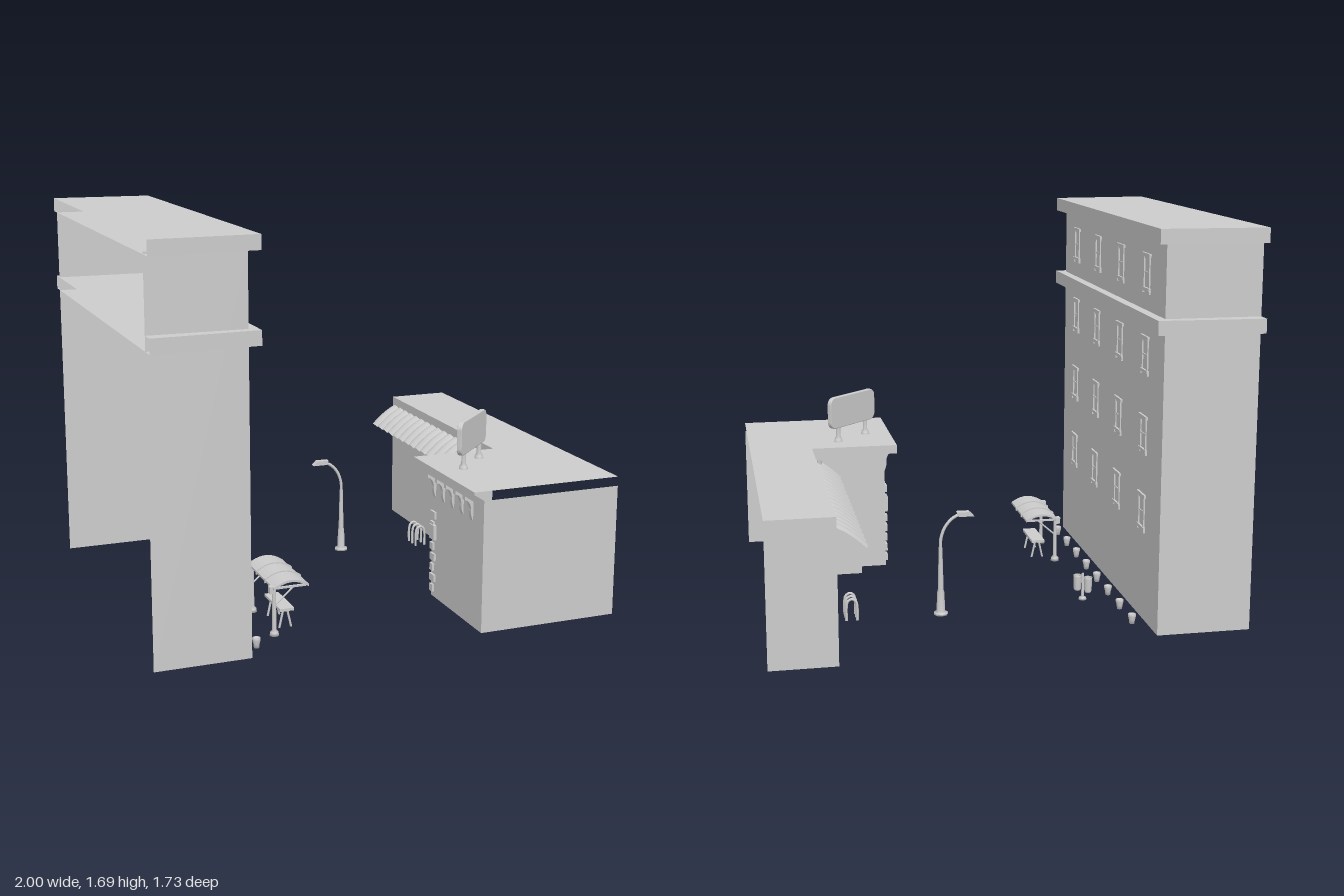
import * as THREE from 'three';

const mat = new THREE.MeshStandardMaterial({ color: 0xcccccc, side: THREE.DoubleSide });
const V = (x, y, z) => new THREE.Vector3(x, y, z);

function add(parent, name, geo, x = 0, y = 0, z = 0) {
  const m = new THREE.Mesh(geo, mat);
  m.name = name;
  m.position.set(x, y, z);
  parent.add(m);
  return m;
}
function group(parent, name, x = 0, y = 0, z = 0) {
  const g = new THREE.Group();
  g.name = name;
  g.position.set(x, y, z);
  parent.add(g);
  return g;
}
const box = (p, n, w, h, d, x, y, z) => add(p, n, new THREE.BoxGeometry(w, h, d), x, y, z);
const cyl = (p, n, r1, r2, h, x, y, z, s = 12) => add(p, n, new THREE.CylinderGeometry(r1, r2, h, s), x, y, z);
const tube = (p, n, pts, r, s = 24) => add(p, n, new THREE.TubeGeometry(new THREE.CatmullRomCurve3(pts), s, r, 8));
const lathe = (p, n, pts, x, y, z, s = 12) =>
  add(p, n, new THREE.LatheGeometry(pts.map(q => new THREE.Vector2(q[0], q[1])), s), x, y, z);

// Upright thin walls following a plan path of [x, z] points
function walls(parent, name, path, y0, y1) {
  const pos = [];
  for (let i = 0; i < path.length - 1; i++) {
    const [ax, az] = path[i], [bx, bz] = path[i + 1];
    pos.push(ax, y0, az, bx, y0, bz, bx, y1, bz, ax, y0, az, bx, y1, bz, ax, y1, az);
  }
  const g = new THREE.BufferGeometry();
  g.setAttribute('position', new THREE.Float32BufferAttribute(pos, 3));
  g.computeVertexNormals();
  return add(parent, name, g);
}
// Flat horizontal sheet with a plan outline
function sheet(parent, name, path, y) {
  const g = new THREE.ShapeGeometry(new THREE.Shape(path.map(p => new THREE.Vector2(p[0], -p[1]))));
  g.rotateX(-Math.PI / 2);
  return add(parent, name, g, 0, y, 0);
}

function windowFrame(parent, y, z) {
  const w = group(parent, 'window', -0.6, y, z);
  box(w, 'lintel', 0.018, 0.014, 0.105, 0, 0.158, 0);
  for (const s of [-1, 1]) {
    box(w, 'jamb', 0.012, 0.14, 0.012, 0, 0.083, s * 0.036);
    box(w, 'sillBracket', 0.016, 0.016, 0.014, 0, 0.008, s * 0.044);
  }
  box(w, 'topRail', 0.01, 0.008, 0.07, 0, 0.147, 0);
  box(w, 'middleRail', 0.008, 0.007, 0.06, 0, 0.085, 0);
  box(w, 'sill', 0.018, 0.012, 0.1, 0, 0.018, 0);
  for (let i = -2; i <= 2; i++)
    cyl(w, 'sillScallop', 0.007, 0.007, 0.012, 0, 0.012, i * 0.014, 8).rotation.z = Math.PI / 2;
}

function tallBuilding(root) {
  const b = group(root, 'tallBuilding');
  walls(b, 'tallWalls', [[-1, 0.8], [-0.6, 0.8], [-0.6, -0.8], [-1, -0.8]], 0.01, 1.64);
  const rim = [[-1, 0.863], [-0.56, 0.84], [-0.56, -0.84], [-1, -0.863]];
  for (const [y0, y1] of [[1.27, 1.33], [1.63, 1.69]]) {
    walls(b, 'corniceFace', rim, y0, y1);
    sheet(b, 'corniceTop', rim, y1);
    sheet(b, 'corniceUnderside', rim, y0);
  }
  for (const y of [0.39, 0.725, 1.06, 1.4])
    for (const z of [0.575, 0.2, -0.175, -0.55]) windowFrame(b, y, z);
}

function shop(root) {
  const b = group(root, 'shop');
  walls(b, 'frontWalls', [[1, 0.863], [0.375, 0.863], [0.375, 0.37], [0.5, 0.37], [0.5, 0.27]], 0, 0.57);
  walls(b, 'wingWalls', [[0.5, 0.27], [0.72, 0.27], [0.72, -0.863], [1, -0.863]], 0, 0.61);
  sheet(b, 'shopRoof', [[0.33, 0.863], [1, 0.863], [1, -0.863], [0.72, -0.863], [0.72, 0.265], [0.33, 0.265]], 0.61);
  walls(b, 'roofFascia', [[0.33, 0.863], [0.33, 0.265], [0.72, 0.265]], 0.57, 0.61);

  // Curved corbels under the overhang
  const c = new THREE.Shape();
  c.moveTo(0.38, 0.45);
  c.quadraticCurveTo(0.362, 0.47, 0.364, 0.51);
  c.quadraticCurveTo(0.36, 0.545, 0.335, 0.55);
  c.lineTo(0.335, 0.57);
  c.lineTo(0.38, 0.57);
  const corbel = new THREE.ExtrudeGeometry(c, { depth: 0.022, bevelEnabled: false, curveSegments: 6 });
  for (let i = 0; i < 5; i++) add(b, 'corbel', corbel, 0, 0, 0.385 + i * 0.09);

  // Corner stones and wall box
  for (let i = 0; i < 8; i++)
    box(b, 'cornerStone', 0.018, 0.032, i % 2 ? 0.045 : 0.03, 0.374, 0.04 + i * 0.048, i % 2 ? 0.392 : 0.385);
  box(b, 'wallBox', 0.03, 0.065, 0.045, 0.375, 0.3, 0.395);

  // Striped awning of bulging strips
  const n = 17, w = 1.11 / n;
  for (let i = 0; i < n; i++) {
    const g = new THREE.PlaneGeometry(1, 1, 6, 6), p = g.attributes.position;
    for (let k = 0; k < p.count; k++) {
      const u = p.getX(k) + 0.5, t = 0.5 - p.getY(k), bulge = 0.012 * Math.sin(Math.PI * u);
      p.setXYZ(k, 0.722 - 0.12 * t - bulge * 0.5, 0.565 - 0.055 * t - 0.035 * t * t + bulge * 0.8, -0.857 + (i + u) * w);
    }
    g.computeVertexNormals();
    add(b, 'awningStrip', g);
  }

  // Wall pipes
  const X = 0.695;
  tube(b, 'wallPipe', [V(X, 0.57, 0.2), V(X, 0.3, 0.2), V(X, 0.05, 0.2), V(X, 0.02, 0.2), V(0.67, 0.015, 0.2)], 0.01);
  tube(b, 'wallPipe', [V(X, 0.5, 0.14), V(X, 0.3, 0.14), V(X, 0.16, 0.14), V(X, 0.13, 0.11), V(X, 0.13, 0.03), V(X, 0.16, 0), V(X, 0.24, 0)], 0.01);
  tube(b, 'wallPipe', [V(X, 0.42, 0.1), V(X, 0.27, 0.1), V(X, 0.24, 0.08), V(X, 0.24, 0.02)], 0.008);
  for (const y of [0.2, 0.4]) box(b, 'pipeClamp', 0.03, 0.012, 0.03, 0.705, y, 0.2);

  // Bike rack hoops
  for (const z of [-0.355, -0.315, -0.275])
    tube(b, 'bikeRackHoop', [V(0.592, 0, z), V(0.592, 0.06, z), V(0.598, 0.085, z), V(0.615, 0.095, z), V(0.632, 0.085, z), V(0.638, 0.06, z), V(0.638, 0, z)], 0.006);
}

function billboard(root) {
  const g = group(root, 'billboard', 0.517, 0.61, 0.455);
  g.rotation.y = Math.PI / 4 - 0.02;
  const W = 0.155, r = 0.03, s = new THREE.Shape();
  s.absarc(W - r, 0.21 - r, r, 0, Math.PI / 2);
  s.absarc(-W + r, 0.21 - r, r, Math.PI / 2, Math.PI);
  s.absarc(-W + r, 0.07 + r, r, Math.PI, 1.5 * Math.PI);
  s.absarc(W - r, 0.07 + r, r, 1.5 * Math.PI, 2 * Math.PI);
  const geo = new THREE.ExtrudeGeometry(s, { depth: 0.014, bevelSize: 0.004, bevelThickness: 0.004, bevelSegments: 2, curveSegments: 6 });
  add(g, 'billboardPanel', geo, 0, 0, -0.007);
  for (const x of [-0.098, 0.098])
    lathe(g, 'billboardLeg', [[0.02, 0], [0.018, 0.012], [0.01, 0.025], [0.01, 0.072]], x, 0, 0);
}

function streetLamp(root) {
  const g = group(root, 'streetLamp', 0.23, 0, -0.35);
  lathe(g, 'lampBase', [[0, 0], [0.031, 0], [0.031, 0.01], [0.019, 0.016], [0.016, 0.1], [0.013, 0.11], [0.009, 0.27], [0.009, 0.3]], 0, 0, 0, 8);
  tube(g, 'lampArm', [V(0, 0.29, 0), V(-0.002, 0.34, 0), V(-0.02, 0.39, 0), V(-0.05, 0.425, 0), V(-0.085, 0.445, 0)], 0.007);
  const head = new THREE.Shape([[-0.07, 0.455], [-0.125, 0.455], [-0.145, 0.435], [-0.078, 0.435]].map(p => new THREE.Vector2(...p)));
  add(g, 'lampHead', new THREE.ExtrudeGeometry(head, { depth: 0.03, bevelEnabled: false }), 0, 0, -0.015);
}

function shelter(root) {
  const g = group(root, 'benchShelter');
  // Arched canopy and its ribs
  const arch = (x0, x1, y, lift, thick) => {
    const s = new THREE.Shape(), m = (x0 + x1) / 2;
    s.moveTo(x0, y);
    s.quadraticCurveTo(m, y + lift, x1, y);
    s.lineTo(x1, y - thick);
    s.quadraticCurveTo(m, y + lift - thick, x0, y - thick);
    return s;
  };
  const ext = (s, d) => new THREE.ExtrudeGeometry(s, { depth: d, bevelEnabled: false, curveSegments: 10 });
  add(g, 'canopy', ext(arch(-0.44, -0.287, 0.212, 0.054, 0.01), 0.335), 0, 0, 0.267);
  for (const z of [0.378, 0.49]) add(g, 'canopyRib', ext(arch(-0.443, -0.284, 0.216, 0.056, 0.018), 0.012), 0, 0, z - 0.006);
  for (const z of [0.29, 0.58]) {
    lathe(g, 'shelterPost', [[0, 0], [0.02, 0], [0.018, 0.014], [0.009, 0.025], [0.008, 0.21]], -0.432, 0, z);
    box(g, 'postCap', 0.022, 0.03, 0.026, -0.443, 0.2, z);
    tube(g, 'strut', [V(-0.43, 0.13, z), V(-0.395, 0.16, z), V(-0.35, 0.2, z)], 0.004, 8);
    box(g, 'canopyBeam', 0.145, 0.008, 0.01, -0.364, 0.203, z);
  }
  // Bench
  box(g, 'benchSeat', 0.062, 0.012, 0.2, -0.36, 0.085, 0.435);
  for (const z of [0.36, 0.51])
    for (const s of [-1, 1]) cyl(g, 'benchLeg', 0.005, 0.005, 0.084, -0.36 + s * 0.017, 0.041, z, 6).rotation.z = s * 0.22;
}

function litterBins(root) {
  const g = group(root, 'litterBins', -0.42, 0, -0.278);
  g.rotation.y = -Math.PI / 4;
  lathe(g, 'binPost', [[0, 0], [0.018, 0], [0.016, 0.01], [0.006, 0.016], [0.006, 0.12], [0, 0.124]], 0, 0, 0);
  box(g, 'binBar', 0.06, 0.008, 0.008, 0, 0.085, 0);
  for (const s of [-1, 1])
    lathe(g, 'bin', [[0, 0.038], [0.013, 0.038], [0.016, 0.045], [0.018, 0.1], [0.019, 0.108], [0.015, 0.108], [0.012, 0.05], [0, 0.05]], s * 0.027, 0, 0);
}

export function createModel() {
  const root = new THREE.Group();
  root.name = 'streetScene';
  tallBuilding(root);
  shop(root);
  billboard(root);
  streetLamp(root);
  shelter(root);
  litterBins(root);
  // Row of pots along the tall building
  for (let i = 0; i < 8; i++)
    lathe(root, 'pot', [[0, 0.003], [0.011, 0.003], [0.013, 0.02], [0.017, 0.035], [0.017, 0.046], [0.013, 0.046], [0, 0.036]], -0.545, 0, -0.622 + i * 0.187, 10);
  return root;
}
